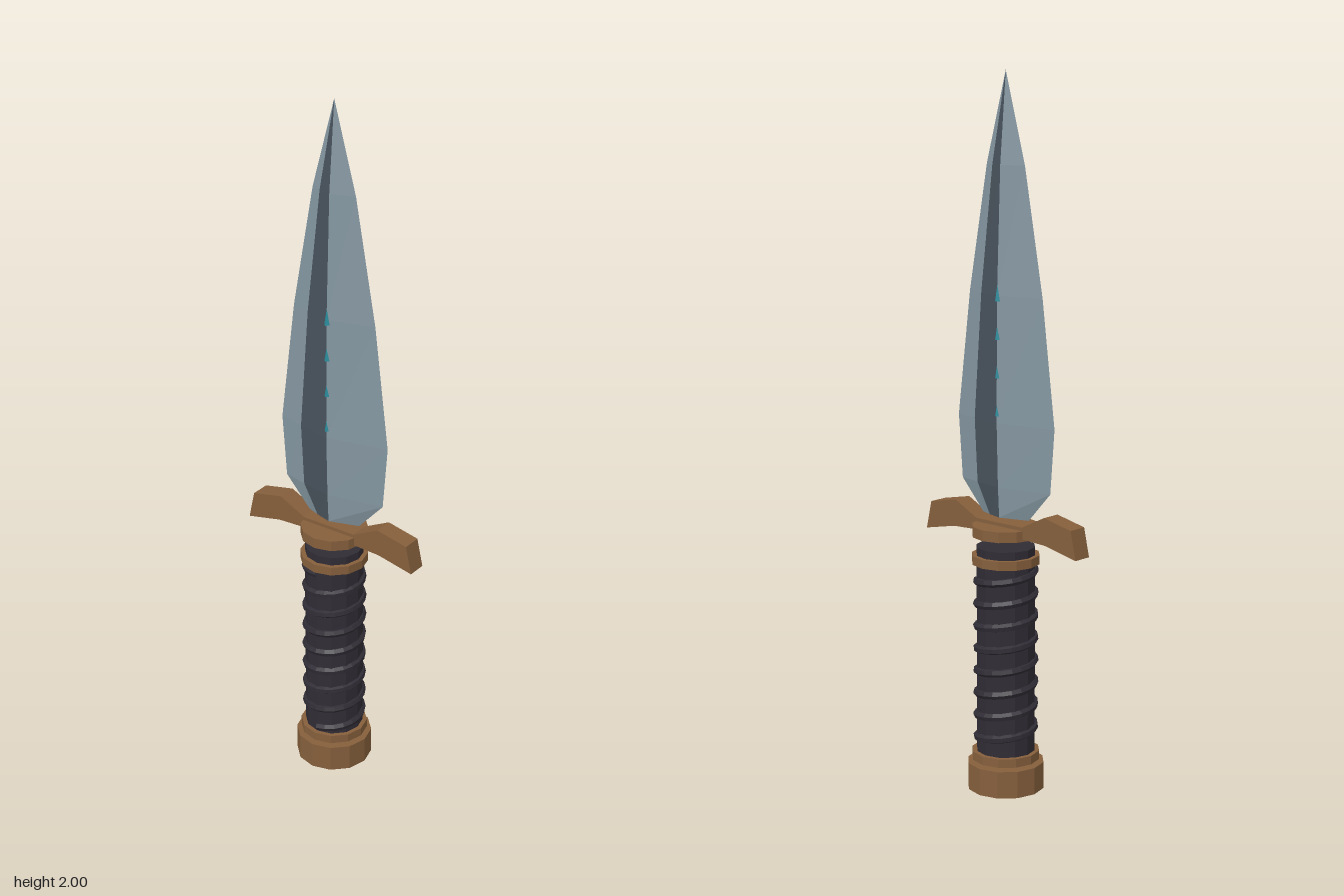
import * as THREE from 'three';

const mat = (color) => new THREE.MeshStandardMaterial({ color, flatShading: true });
const steel = mat(0x8496a0), darkSteel = mat(0x48525c), bronze = mat(0x855f3c);
const leather = mat(0x302c35), teal = mat(0x2a8c9c);

function add(parent, name, geometry, material, x = 0, y = 0, z = 0) {
  const mesh = new THREE.Mesh(geometry, material);
  mesh.name = name;
  mesh.position.set(x, y, z);
  parent.add(mesh);
  return mesh;
}

// Twelve-sided drum between two heights
const drum = (parent, name, r, y0, y1, material) =>
  add(parent, name, new THREE.CylinderGeometry(r, r, y1 - y0, 12), material, 0, (y0 + y1) / 2);

// Blade stations: height, half width, half thickness
const stations = [
  [0.784, 0.085, 0.027], [0.87, 0.163, 0.032], [1.05, 0.177, 0.037],
  [1.4, 0.133, 0.035], [1.75, 0.069, 0.022], [2, 0, 0],
];

// One long facet between two columns, given as fractions of width and thickness
function facet([ax, az], [bx, bz]) {
  const p = [];
  for (let i = 0; i < stations.length - 1; i++) {
    const at = (s, fx, fz) => [s[1] * fx, s[0], s[2] * fz];
    const lo = stations[i], hi = stations[i + 1];
    const a0 = at(lo, ax, az), b0 = at(lo, bx, bz), a1 = at(hi, ax, az), b1 = at(hi, bx, bz);
    p.push(...a0, ...b0, ...b1);
    if (hi[1] > 0) p.push(...a0, ...b1, ...a1);
  }
  return fromPoints(p);
}

function fromPoints(p) {
  const g = new THREE.BufferGeometry();
  g.setAttribute('position', new THREE.Float32BufferAttribute(p, 3));
  g.computeVertexNormals();
  return g;
}

// Half of the blade: outer bevel, dark centre facet, broad bevel, base and studs
function bladeSide(name) {
  const side = new THREE.Group();
  side.name = name;
  const edge = [-1, 0], crease = [-0.56, 0.5], ridge = [0, 1];
  add(side, 'outerBevel', facet(edge, crease), steel);
  add(side, 'centreFacet', facet(crease, ridge), darkSteel);
  add(side, 'broadBevel', facet(ridge, [1, 0]), steel);
  const [y, w, d] = stations[0];
  add(side, 'bladeBase', fromPoints([
    -w, y, 0, w, y, 0, 0, y, d,
    -w, y, 0, 0, y, d, -w * 0.56, y, d * 0.5,
  ]), steel);
  for (let i = 0; i < 4; i++) {
    add(side, 'ridgeStud', new THREE.ConeGeometry(0.009, 0.05, 4), teal, 0, 1.095 + i * 0.105, 0.033);
  }
  return side;
}

// Evenly rising cord around the grip
class Helix extends THREE.Curve {
  getPoint(t, target = new THREE.Vector3()) {
    const a = t * Math.PI * 2 * 8;
    return target.set(Math.sin(a) * 0.08, 0.125 + t * 0.515, Math.cos(a) * 0.08);
  }
}

export function createModel() {
  const dagger = new THREE.Group();
  dagger.name = 'dagger';

  // Blade: the back is the front turned half around
  const blade = new THREE.Group();
  blade.name = 'blade';
  const back = bladeSide('bladeBack');
  back.rotation.y = Math.PI;
  blade.add(bladeSide('bladeFront'), back);
  dagger.add(blade);

  // Crossguard with drooping wings and a round collar
  const half = [[0.085, 0.77], [0.165, 0.81], [0.26, 0.79], [0.278, 0.71], [0.17, 0.733], [0.085, 0.737]];
  const outline = [...half, ...half.map(([x, y]) => [-x, y]).reverse()];
  const guard = new THREE.ExtrudeGeometry(
    new THREE.Shape(outline.map(([x, y]) => new THREE.Vector2(x, y))),
    { depth: 0.056, bevelEnabled: false });
  add(dagger, 'crossguard', guard, bronze, 0, 0, -0.028);
  drum(dagger, 'guardCollar', 0.095, 0.73, 0.76, bronze);

  // Grip, cord, rings and pommel
  drum(dagger, 'grip', 0.083, 0.085, 0.7, leather);
  add(dagger, 'gripCord', new THREE.TubeGeometry(new Helix(), 160, 0.012, 6), leather);
  drum(dagger, 'upperRing', 0.096, 0.652, 0.677, bronze);
  drum(dagger, 'lowerRing', 0.096, 0.085, 0.11, bronze);
  drum(dagger, 'pommel', 0.109, 0, 0.077, bronze);
  return dagger;
}
